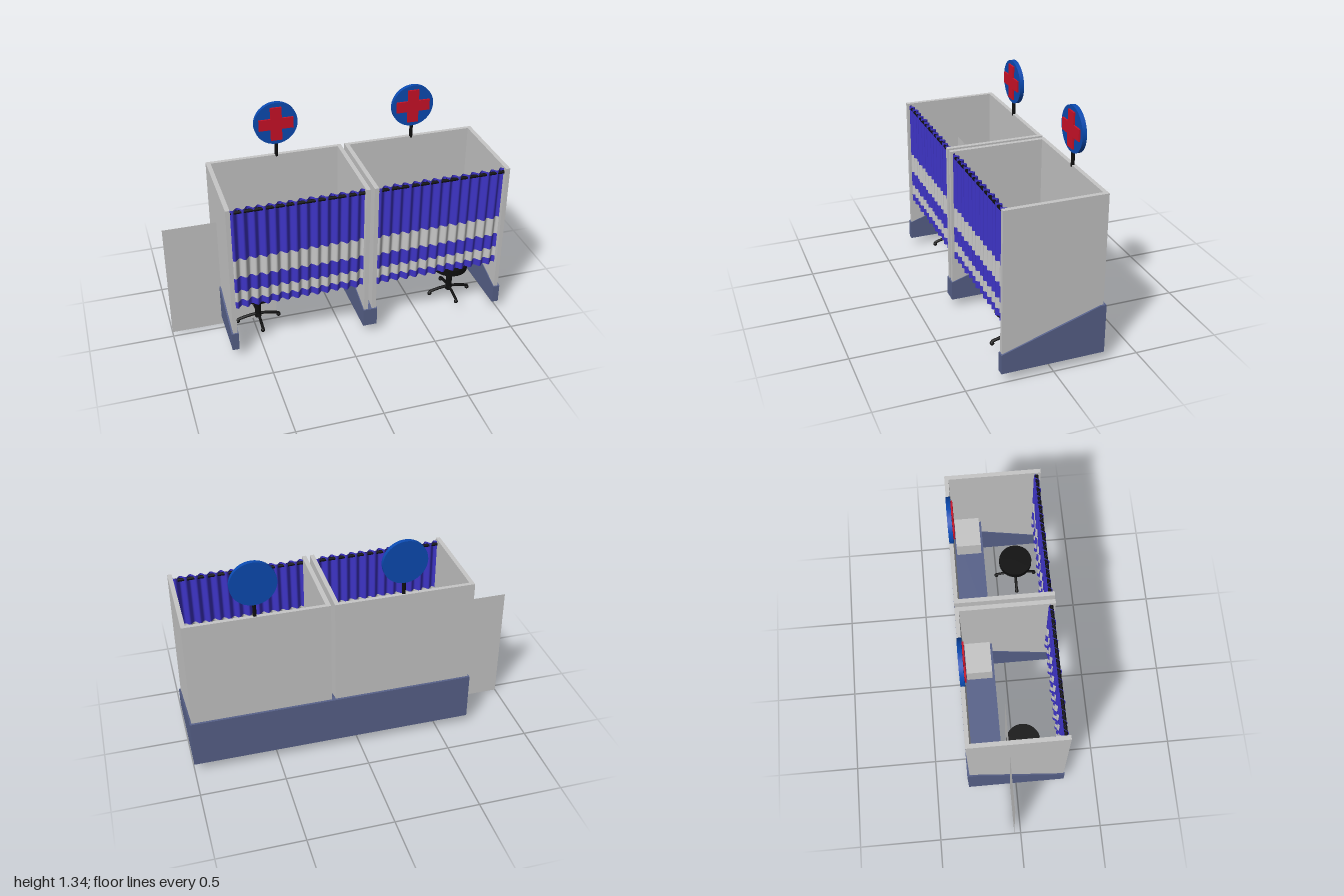
import * as THREE from 'three';

const mat = (name, color, side = THREE.FrontSide) => {
  const m = new THREE.MeshStandardMaterial({ color, side });
  m.name = name;
  return m;
};

export function createModel() {
  const root = new THREE.Group();
  root.name = 'medicalBooths';
  const grey = mat('wall grey', 0xc6c6c6, THREE.DoubleSide);
  const slate = mat('slate blue', 0x58628a);
  const violet = mat('curtain blue', 0x3d33c4, THREE.DoubleSide);
  const blue = mat('sign blue', 0x0b4bb3);
  const red = mat('cross red', 0xcc1228);
  const black = mat('black', 0x0e0e0e);

  const add = (parent, name, geometry, material, x = 0, y = 0, z = 0) => {
    const m = new THREE.Mesh(geometry, material);
    m.name = name;
    m.position.set(x, y, z);
    parent.add(m);
    return m;
  };
  // Box given by its lower and upper limits
  const box = (parent, name, material, x0, x1, y0, y1, z0, z1) =>
    add(parent, name, new THREE.BoxGeometry(x1 - x0, y1 - y0, z1 - z0), material,
      (x0 + x1) / 2, (y0 + y1) / 2, (z0 + z1) / 2);

  // Base: a back slab and three sloping side skirts
  box(root, 'baseBack', slate, -0.694, 1, 0.055, 0.35, -0.298, -0.277);
  const skirt = new THREE.Shape([
    [-0.3, 0.055], [0.298, 0.055], [0.298, 0.35], [0.265, 0.35], [-0.3, 0.17],
  ].map(([a, b]) => new THREE.Vector2(a, b)));
  for (const [x0, x1] of [[-0.694, -0.653], [0.11, 0.196], [0.959, 1]]) {
    const g = new THREE.ExtrudeGeometry(skirt, { depth: x1 - x0, bevelEnabled: false });
    g.rotateY(Math.PI / 2); // profile x becomes -z, depth becomes +x
    add(root, 'baseSide', g, slate, x0);
  }

  // Wavy curtain strip between two heights
  const curtain = (parent, name, material, width, y0, y1) => {
    const folds = 13;
    const g = new THREE.PlaneGeometry(width, y1 - y0, folds * 8, 1);
    const p = g.attributes.position;
    for (let i = 0; i < p.count; i++) {
      const t = (p.getX(i) / width + 0.5) * folds * Math.PI * 2;
      p.setZ(i, 0.014 * Math.sin(t) + 0.003 * Math.sin(t * 0.37));
    }
    g.computeVertexNormals();
    add(parent, name, g, material, 0, (y0 + y1) / 2, 0.268);
  };

  const sign = (parent, x) => {
    const s = new THREE.Group();
    s.name = 'sign';
    s.position.set(x, 0, -0.267);
    parent.add(s);
    add(s, 'signPost', new THREE.CylinderGeometry(0.0105, 0.0105, 0.1, 16), black, 0, 1.04, 0);
    const disc = new THREE.CylinderGeometry(0.131, 0.131, 0.025, 48).rotateX(Math.PI / 2);
    add(s, 'signDisc', disc, blue, 0, 1.206, 0);
    const a = 0.104, b = 0.034;
    const cross = new THREE.Shape([
      [-b, -a], [b, -a], [b, -b], [a, -b], [a, b], [b, b],
      [b, a], [-b, a], [-b, b], [-a, b], [-a, -b], [-b, -b],
    ].map(([u, v]) => new THREE.Vector2(u, v)));
    add(s, 'signCross', new THREE.ExtrudeGeometry(cross, { depth: 0.01, bevelEnabled: false }),
      red, 0, 1.206, 0.0125);
  };

  const stool = (x, z) => {
    const s = new THREE.Group();
    s.name = 'stool';
    s.position.set(x, 0, z);
    root.add(s);
    add(s, 'stoolSeat', new THREE.CylinderGeometry(0.106, 0.106, 0.04, 32), black, 0, 0.27, 0);
    add(s, 'stoolColumn', new THREE.CylinderGeometry(0.019, 0.019, 0.18, 16), black, 0, 0.175, 0);
    const curve = new THREE.QuadraticBezierCurve3(
      new THREE.Vector3(0, 0.107, 0), new THREE.Vector3(0.07, 0.105, 0), new THREE.Vector3(0.13, 0.083, 0));
    for (let i = 0; i < 4; i++) {
      const leg = new THREE.Group();
      leg.name = 'stoolLeg';
      leg.rotation.y = i * Math.PI / 2;
      s.add(leg);
      add(leg, 'legArm', new THREE.TubeGeometry(curve, 8, 0.009, 8), black);
      add(leg, 'legCaster', new THREE.SphereGeometry(0.013, 12, 8), black, 0.127, 0.073, 0);
    }
  };

  // Two booths, each centred on its own x
  for (const [cx, signX] of [[-0.272, 0.01], [0.577, 0.01]]) {
    const b = new THREE.Group();
    b.name = 'booth';
    b.position.x = cx;
    root.add(b);
    const h = 0.413, inner = 0.387;
    box(b, 'backWall', grey, -h, h, 0.06, 1, -0.284, -0.26);
    for (const s of [-1, 1]) {
      const m = (h + inner) / 2;
      box(b, 'sideWall', grey, s * m - 0.013, s * m + 0.013, 0.06, 1, -0.26, 0.294);
    }
    // Desk with a small device at its left end
    box(b, 'desk', slate, -inner, inner, 0.4, 0.43, -0.26, -0.08);
    box(b, 'deskDevice', grey, 0.162, 0.353, 0.43, 0.55, -0.25, -0.095);
    // Curtain and rail
    const rail = new THREE.CylinderGeometry(0.01, 0.01, inner * 2, 12).rotateZ(Math.PI / 2);
    add(b, 'curtainRail', rail, black, 0, 0.97, 0.27);
    const levels = [0.335, 0.38, 0.445, 0.54, 0.66, 0.99];
    for (let i = 0; i < 5; i++) {
      curtain(b, i % 2 ? 'curtainStripe' : 'curtainPanel', i % 2 ? grey : violet,
        inner * 2, levels[i], levels[i + 1]);
    }
    sign(b, signX);
  }

  stool(-0.485, 0.06);
  stool(0.735, 0.125);

  // Free-standing thin panel crossing the right-hand wall
  add(root, 'screenPanel', new THREE.PlaneGeometry(0.653, 0.733), grey, -0.6735, 0.3665, -0.04);

  return root;
}
